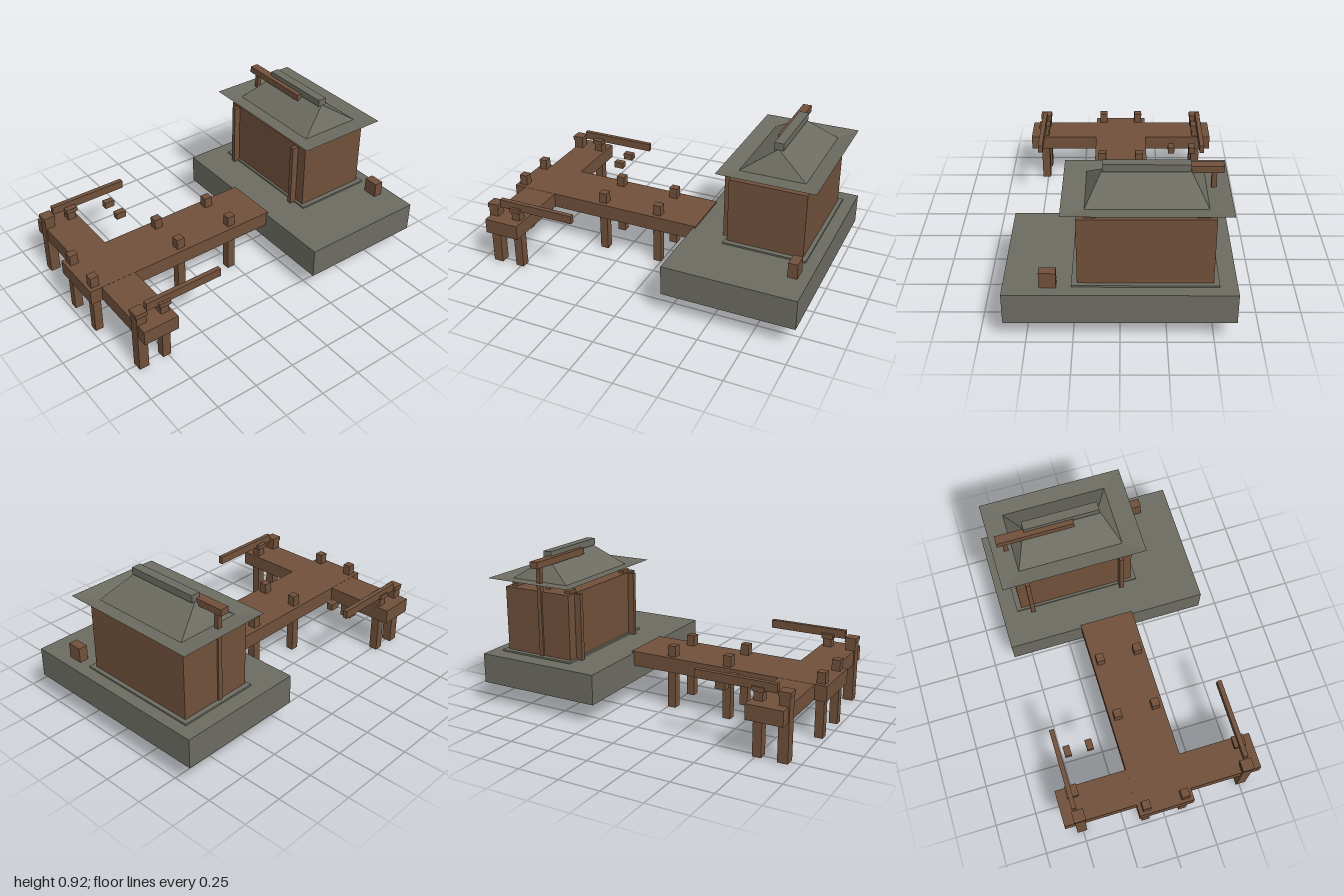
import * as THREE from 'three';

export function createModel() {
  const model = new THREE.Group();
  model.name = 'pavilionWithJetty';
  const wood = new THREE.MeshStandardMaterial({ name: 'brownWood', color: 0x70503a, side: THREE.DoubleSide, flatShading: true });
  const stone = new THREE.MeshStandardMaterial({ name: 'greyStone', color: 0x6c6c62, side: THREE.DoubleSide, flatShading: true });

  function add(name, geometry, material) {
    const mesh = new THREE.Mesh(geometry, material);
    mesh.name = name;
    model.add(mesh);
    return mesh;
  }

  // Box given by its extents, left open underneath unless closed is set
  function block(name, material, [x0, x1], [y0, y1], [z0, z1], closed = false) {
    const g = new THREE.BoxGeometry(x1 - x0, y1 - y0, z1 - z0);
    if (!closed) {
      const index = Array.from(g.index.array);
      index.splice(18, 6); // underside
      g.setIndex(index);
      g.clearGroups();
    }
    const mesh = add(name, g, material);
    mesh.position.set((x0 + x1) / 2, (y0 + y1) / 2, (z0 + z1) / 2);
    return mesh;
  }
  const around = (c, w) => [c - w / 2, c + w / 2];

  // Stone terrace and the plinth under the house
  block('terrace', stone, [-0.615, 0.615], [0.13, 0.31], [-1, -0.22]);
  block('plinth', stone, [-0.52, 0.255], [0.25, 0.32], [-0.93, -0.44]);
  block('terraceCrate', wood, [0.333, 0.423], [0.31, 0.4], [-0.935, -0.88]);

  // House body, front pillars and bearing blocks
  block('houseWalls', wood, [-0.49, 0.225], [0.3, 0.71], [-0.905, -0.455]);
  for (const x of [-0.4225, 0.1525]) {
    block('frontPillar', wood, around(x, 0.026), [0.31, 0.71], [-0.45, -0.41]);
    for (const z of [-0.487, -0.867])
      block('bearingBlock', wood, around(x, 0.066), [0.705, 0.727], around(z, 0.036), true);
  }

  // Posts, side beam and slanted braces reaching into the roof
  block('tallPost', wood, [-0.5, -0.473], [0.31, 0.856], around(-0.655, 0.027));
  block('kingPost', wood, [-0.135, -0.105], [0.31, 0.856], around(-0.648, 0.027));
  block('sideBeam', wood, [-0.535, -0.07], [0.854, 0.893], [-0.683, -0.63], true);
  for (const x of [-0.4, -0.037]) {
    const brace = block('brace', wood, around(x, 0.026), around(0.733, 0.2), around(-0.648, 0.026), true);
    brace.rotation.z = -0.5;
  }

  // Hipped roof: wide eave dipping to an inner ring, then rising to the ridge
  const ring = (x0, x1, y, z0, z1) => [[x0, y, z1], [x1, y, z1], [x1, y, z0], [x0, y, z0]];
  const rings = [
    ring(-0.57, 0.3, 0.769, -0.97, -0.4),
    ring(-0.45, 0.18, 0.755, -0.878, -0.495),
    ring(-0.36, 0.09, 0.882, -0.687, -0.686),
  ];
  const points = [];
  for (let r = 0; r < 2; r++) {
    for (let i = 0; i < 4; i++) {
      const j = (i + 1) % 4;
      const a = rings[r][i], b = rings[r][j], c = rings[r + 1][j], d = rings[r + 1][i];
      points.push(...a, ...b, ...c, ...a, ...c, ...d);
    }
  }
  const roof = new THREE.BufferGeometry();
  roof.setAttribute('position', new THREE.Float32BufferAttribute(points, 3));
  roof.computeVertexNormals();
  add('roof', roof, stone);
  block('roofRidge', stone, [-0.363, 0.092], [0.878, 0.92], [-0.715, -0.66], true);

  // Jetty decks
  block('walkway', wood, [-0.167, 0.165], [0.23, 0.32], [-0.235, 1]);
  block('crossDeck', wood, [-0.6, 0.6], [0.23, 0.319], [0.715, 0.93]);

  // Walkway piles in pairs
  for (const z of [0.025, 0.388, 0.955])
    for (const x of [-0.118, 0.116])
      block('walkwayPile', wood, around(x, 0.048), [0, 0.385], around(z, 0.05));

  // Capped piles and handrails at both ends of the cross deck
  for (const x of [-0.506, 0.51]) {
    for (const [z, w] of [[0.907, 0.06], [0.758, 0.052]]) {
      block('endPile', wood, around(x, w), [0, 0.37], around(z, w));
      block('pileCap', wood, around(x, 0.07), [0.37, 0.398], around(z, 0.07), true);
    }
    const railX = x < 0 ? -0.52 : 0.514;
    block('handrail', wood, around(railX, 0.028), [0.38, 0.43], [0.385, 0.865], true);
  }

  // Small mooring blocks beside the jetty
  for (const x of [-0.465, -0.33])
    block('mooringBlock', wood, around(x, 0.04), [0.32, 0.36], around(0.515, 0.062));

  return model;
}
